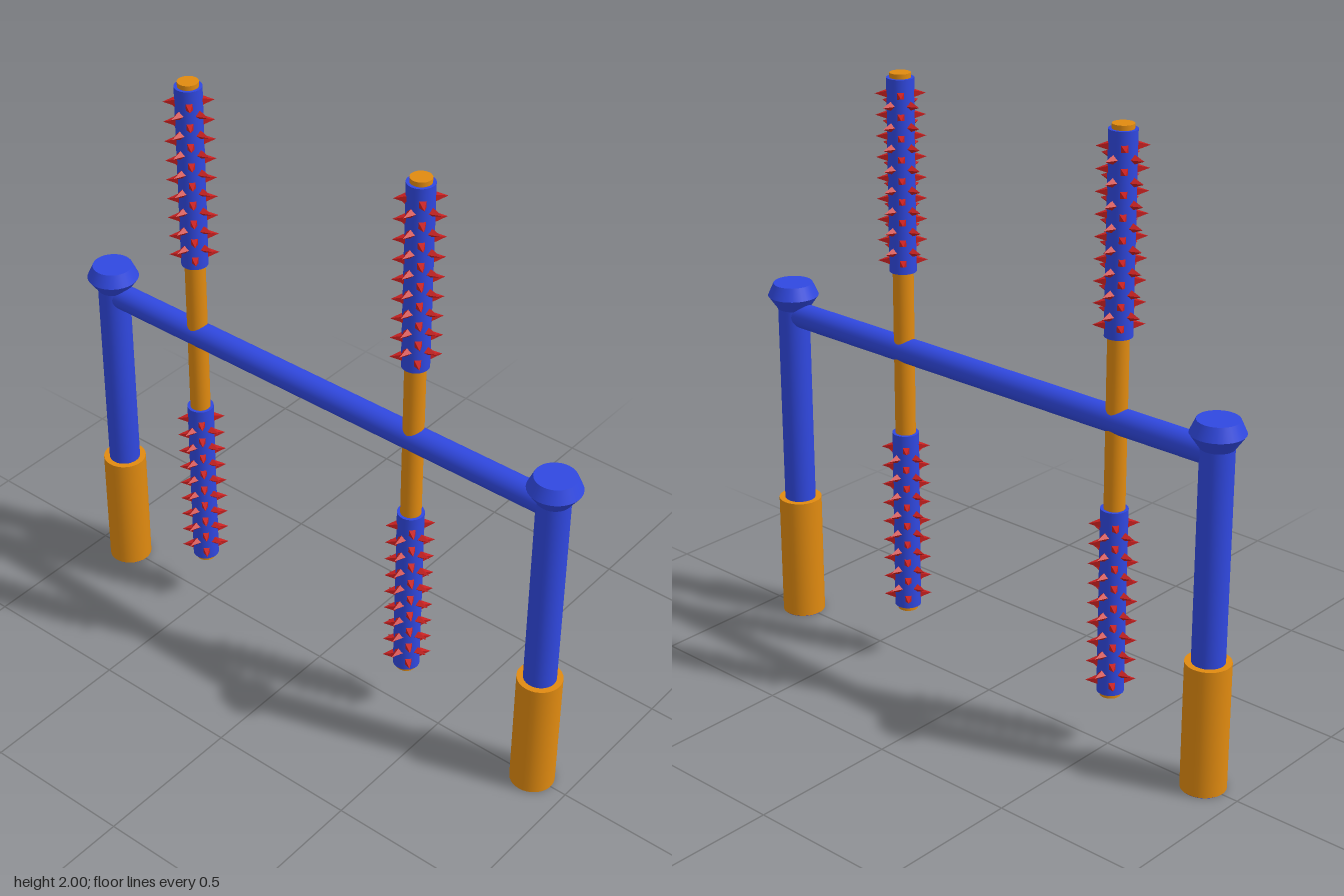
import * as THREE from 'three';

const blue = new THREE.MeshStandardMaterial({ color: 0x3048e0 });
const orange = new THREE.MeshStandardMaterial({ color: 0xe08a10 });
const red = new THREE.MeshStandardMaterial({ color: 0xc82020 });
red.flatShading = true;

function add(parent, name, geometry, material, x = 0, y = 0, z = 0) {
  const mesh = new THREE.Mesh(geometry, material);
  mesh.name = name;
  mesh.position.set(x, y, z);
  parent.add(mesh);
  return mesh;
}

// Upright cylinder between two heights
function pole(parent, name, radius, y0, y1, material) {
  return add(parent, name, new THREE.CylinderGeometry(radius, radius, y1 - y0, 32), material, 0, (y0 + y1) / 2);
}

// Post with foot sleeve and bevelled cap
function post(x) {
  const g = new THREE.Group();
  g.name = 'post';
  g.position.x = x;
  pole(g, 'postShaft', 0.052, 0.01, 1.15, blue);
  pole(g, 'footSleeve', 0.072, 0.002, 0.43, orange);
  pole(g, 'footBase', 0.07, 0, 0.01, blue);
  add(g, 'capLower', new THREE.CylinderGeometry(0.084, 0.053, 0.045, 32), blue, 0, 1.1425);
  add(g, 'capUpper', new THREE.CylinderGeometry(0.065, 0.084, 0.042, 32), blue, 0, 1.186);
  return g;
}

// Sleeve with staggered rings of four-sided spikes
const spikeShape = new THREE.ConeGeometry(0.017, 0.042, 4);
function spikedSleeve(y0) {
  const g = new THREE.Group();
  g.name = 'spikedSleeve';
  g.position.y = y0;
  pole(g, 'sleeve', 0.043, 0, 0.62, blue);
  const up = new THREE.Vector3(0, 1, 0);
  for (let row = 0; row < 17; row++) {
    const y = 0.036 + row * 0.0334;
    const offset = row % 2 ? 0 : Math.PI / 4;
    for (let i = 0; i < 4; i++) {
      const a = offset + i * Math.PI / 2;
      const dir = new THREE.Vector3(Math.cos(a), 0, Math.sin(a));
      const spike = add(g, 'spike', spikeShape, red, dir.x * 0.057, y, dir.z * 0.057);
      spike.quaternion.setFromUnitVectors(up, dir);
    }
  }
  return g;
}

// Vertical rod carrying an upper and a lower spiked sleeve
function spikedRod(x) {
  const g = new THREE.Group();
  g.name = 'spikedRod';
  g.position.x = x;
  pole(g, 'rod', 0.033, 0.18, 2, orange);
  g.add(spikedSleeve(0.195), spikedSleeve(1.365));
  return g;
}

export function createModel() {
  const model = new THREE.Group();
  model.name = 'spikedBarrier';
  model.add(post(-0.873), post(0.873), spikedRod(-0.505), spikedRod(0.363));
  const bar = add(model, 'crossbar', new THREE.CylinderGeometry(0.042, 0.042, 1.74, 32), blue, 0, 1.1);
  bar.rotation.z = Math.PI / 2;
  return model;
}
